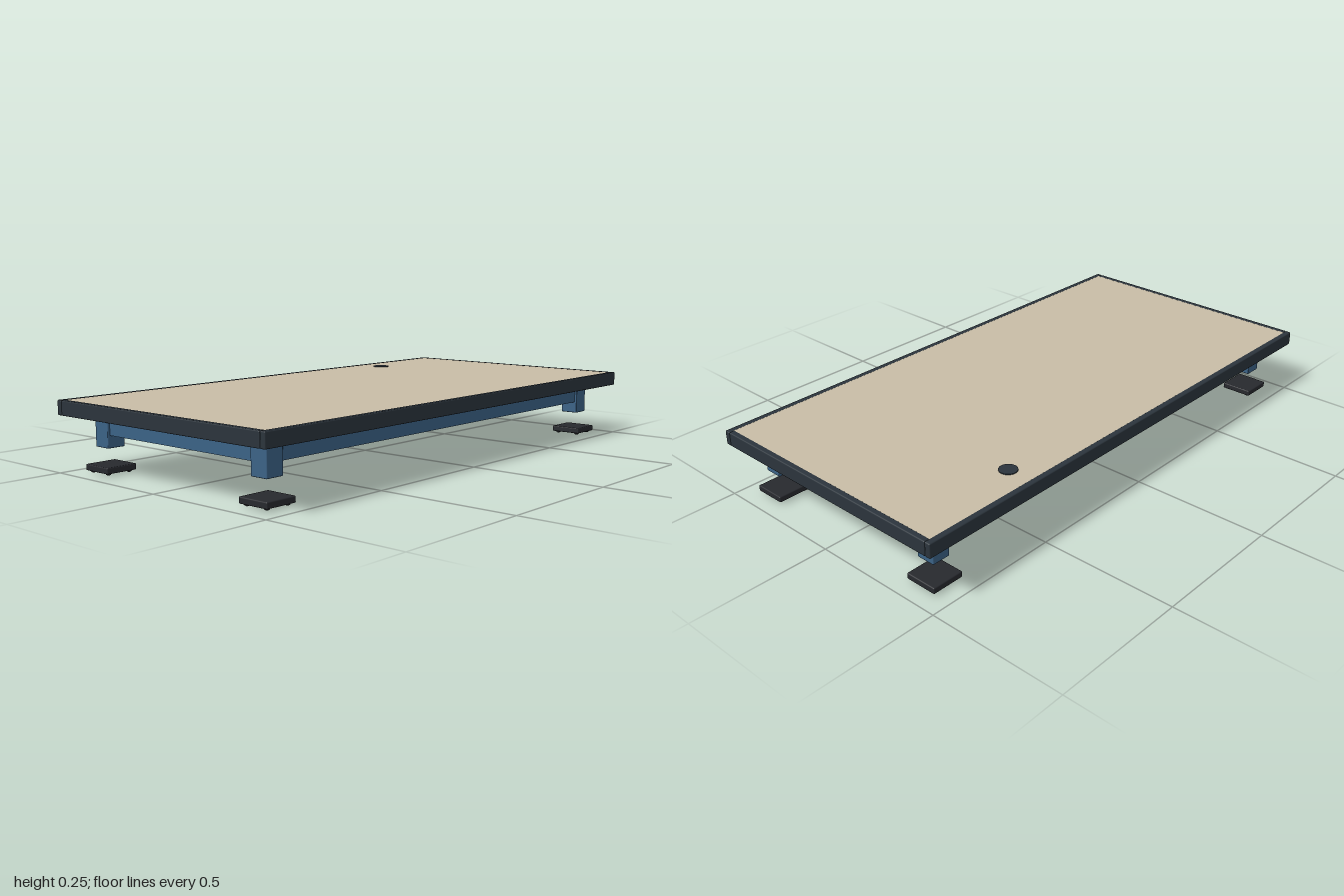
import * as THREE from 'three';
import { RoundedBoxGeometry } from 'three/addons/geometries/RoundedBoxGeometry.js';

const material = (name, color) => {
  const m = new THREE.MeshStandardMaterial({ color });
  m.name = name;
  return m;
};

export function createModel() {
  const group = new THREE.Group();
  const board = material('beige board', 0xc8bda6);
  const edge = material('dark edging', 0x2b343c);
  const steel = material('blue steel', 0x3b6286);
  const rubber = material('dark rubber', 0x27292e);

  const add = (name, geometry, mat, x, y, z) => {
    const mesh = new THREE.Mesh(geometry, mat);
    mesh.name = name;
    mesh.position.set(x, y, z);
    group.add(mesh);
    return mesh;
  };
  const box = (name, mat, size, pos, radius = 0) => add(name,
    radius ? new RoundedBoxGeometry(...size, 2, radius) : new THREE.BoxGeometry(...size), mat, ...pos);

  // Table top, its underside set back inside the edging
  box('tableTop', board, [1.962, 0.04, 0.962], [0, 0.229, 0]);
  add('cableGrommet', new THREE.CylinderGeometry(0.032, 0.032, 0.006, 32), edge, 0.55, 0.249, -0.385);

  const legX = 0.878, legZ = 0.38;
  const railY = 0.171, railH = 0.076, railW = 0.05;

  for (const s of [-1, 1]) {
    // Edging strips: the long ones cover the corners
    box('longEdging', edge, [2, 0.052, 0.022], [0, 0.224, s * 0.489], 0.004);
    box('shortEdging', edge, [0.022, 0.052, 0.956], [s * 0.989, 0.224, 0], 0.004);

    // Rails between the legs
    box('longRail', steel, [2 * legX - 0.06, railH, railW], [0, railY, s * legZ]);
    box('sideRail', steel, [railW, railH, 2 * legZ - 0.06], [s * legX, railY, 0]);

    // Legs, foot plates and the studs beneath them
    for (const t of [-1, 1]) {
      const x = s * legX, z = t * legZ;
      box('legStub', steel, [0.068, 0.119, 0.068], [x, 0.1485, z], 0.003);
      box('footPlate', rubber, [0.12, 0.022, 0.12], [x, 0.019, z], 0.004);
      for (const dx of [-0.042, 0.042]) for (const dz of [-0.042, 0.042]) {
        const stud = add('footStud', new THREE.SphereGeometry(0.01, 12, 8), rubber, x + dx, 0.009, z + dz);
        stud.scale.y = 0.9;
      }
    }
  }

  // Cross beam at mid length
  box('crossBeam', steel, [railW, railH, 2 * legZ - railW], [0, railY, 0]);

  return group;
}
